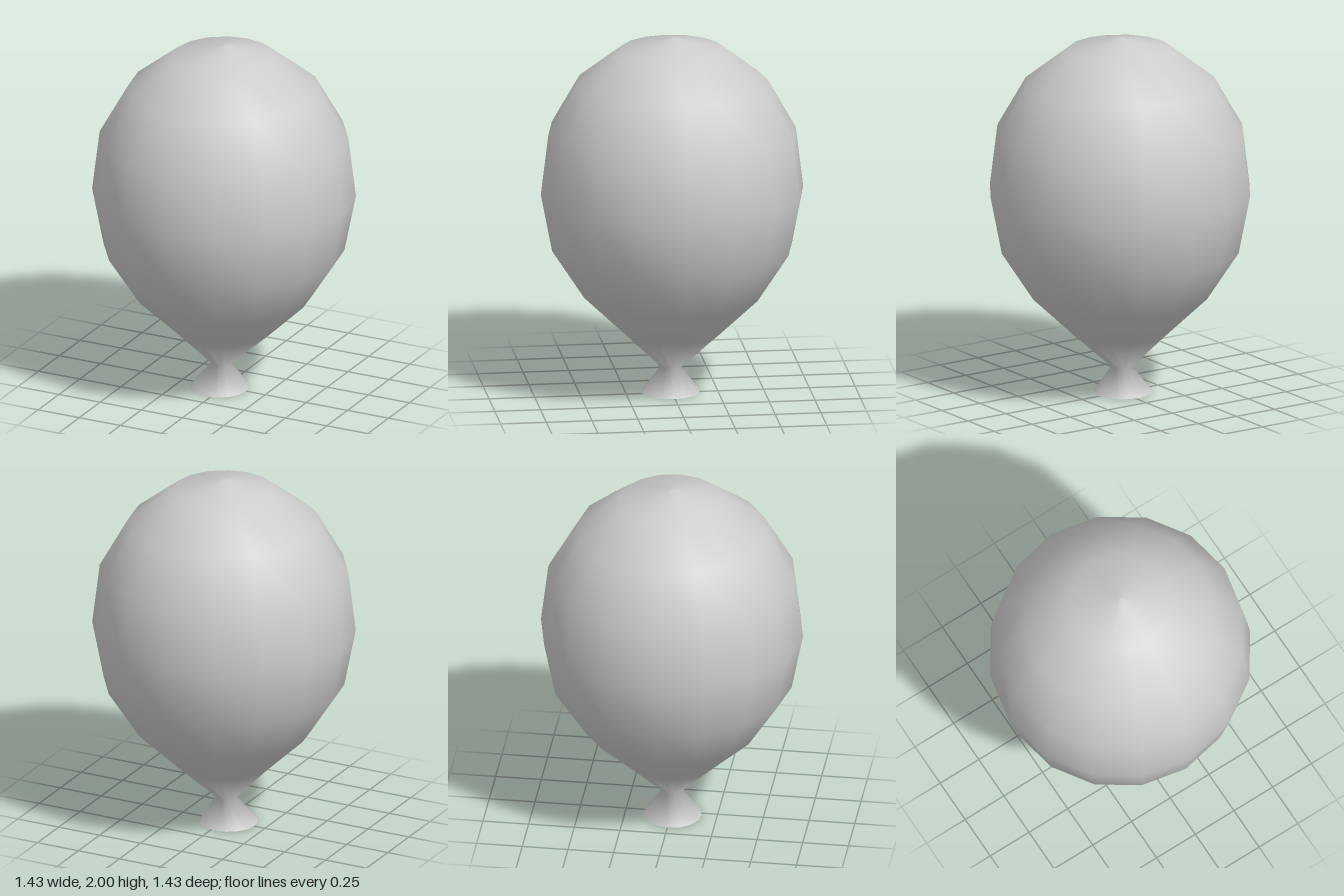
import * as THREE from 'three';

export function createModel() {
  const group = new THREE.Group();
  const material = new THREE.MeshStandardMaterial({ color: 0xcccccc, side: THREE.DoubleSide });

  // Profile from the open mouth, through the pinched neck, to the crown
  const profile = [
    [0.16, 0], [0.057, 0.145], [0.26, 0.34], [0.48, 0.55], [0.655, 0.82],
    [0.717, 1.14], [0.676, 1.475], [0.52, 1.75], [0.28, 1.937], [0, 2],
  ].map(([r, y]) => new THREE.Vector2(r, y));
  const geometry = new THREE.LatheGeometry(profile, 16);

  // The neck and mouth hang slightly off the axis
  const pos = geometry.attributes.position;
  for (let i = 0; i < pos.count; i++) {
    const t = Math.max(0, 1 - pos.getY(i) / 0.3);
    pos.setX(i, pos.getX(i) - 0.025 * t);
    pos.setZ(i, pos.getZ(i) + 0.006 * t);
  }

  const balloon = new THREE.Mesh(geometry, material);
  balloon.name = 'balloon';
  group.add(balloon);
  return group;
}
